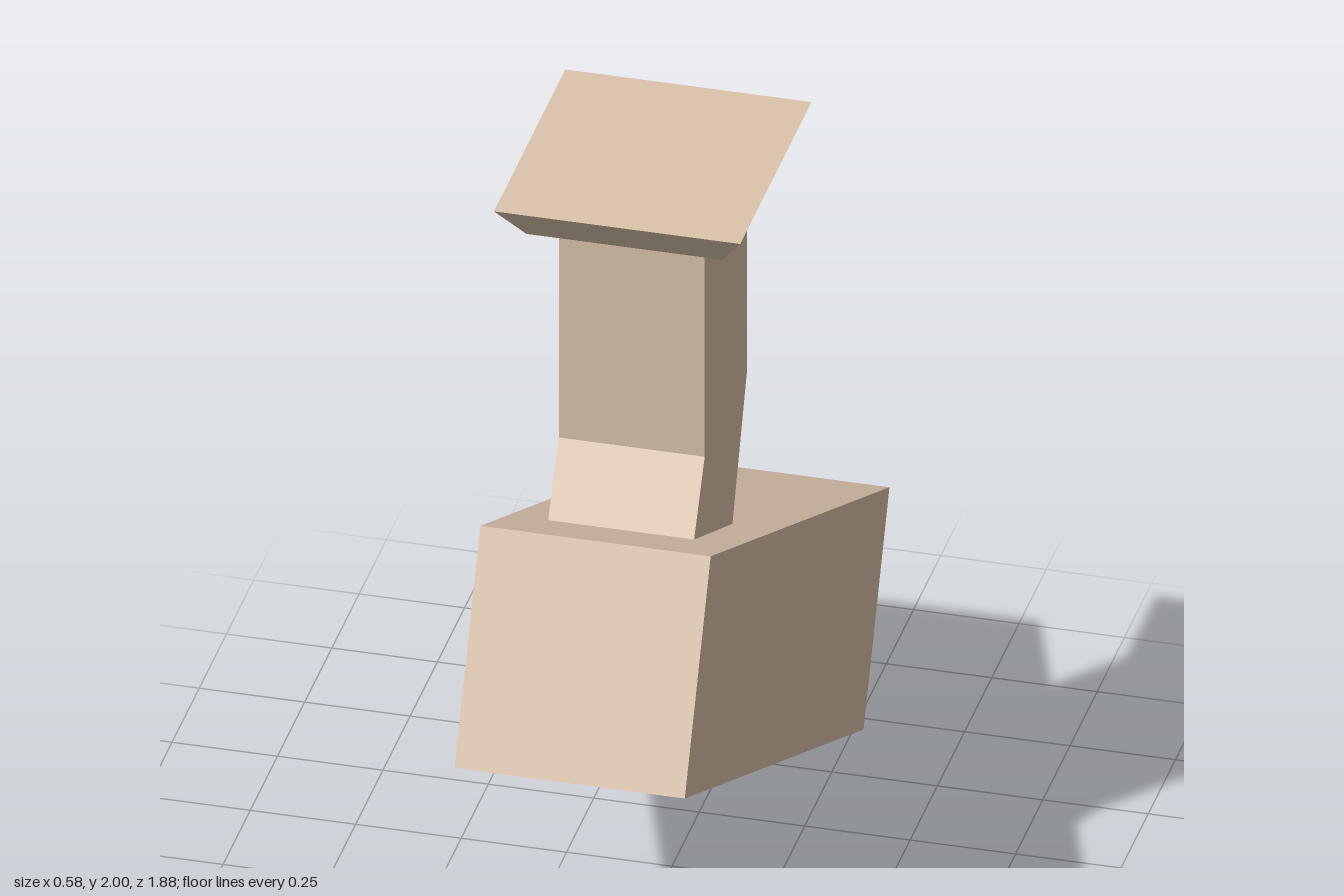
import * as THREE from 'three';

const tan = new THREE.MeshStandardMaterial({ color: 0xdcc4ac });
const black = new THREE.MeshStandardMaterial({ color: 0x151515 });

function part(name, geometry, material = tan) {
  const mesh = new THREE.Mesh(geometry, material);
  mesh.name = name;
  return mesh;
}

// Rectangle path, centred on the origin
function rect(path, w, h) {
  return path.setFromPoints([[-1, -1], [1, -1], [1, 1], [-1, 1]]
    .map(([x, y]) => new THREE.Vector2(x * w / 2, y * h / 2)));
}

// Tilted housing: solid body with a rim around a recessed dark panel at the back
function housing() {
  const width = 0.546, height = 0.563, length = 1.812, wall = 0.052, recess = 0.06;
  const group = new THREE.Group();
  group.name = 'housing';

  const body = part('housingBody', new THREE.BoxGeometry(width, height, length - recess));
  body.position.z = recess / 2;

  const outline = rect(new THREE.Shape(), width, height);
  outline.holes.push(rect(new THREE.Path(), width - 2 * wall, height - 2 * wall));
  const rim = part('backRim', new THREE.ExtrudeGeometry(outline, { depth: recess, bevelEnabled: false }));
  rim.position.z = -length / 2;

  const panel = part('darkPanel',
    new THREE.BoxGeometry(width - 2 * wall, height - 2 * wall, 0.004), black);
  panel.position.z = -length / 2 + recess;

  group.add(body, rim, panel);
  group.rotation.x = -THREE.MathUtils.degToRad(25);
  group.position.y = 0.638;
  return group;
}

// Bent stem: side profile (z, y) extruded across the width
function stem() {
  const width = 0.346;
  const profile = new THREE.Shape([
    [0.37, 1.91], [0.37, 1.335], [0.467, 1.17], [0.115, 1.008], [-0.017, 1.335], [-0.017, 1.91],
  ].map(([z, y]) => new THREE.Vector2(z, y)));
  const geometry = new THREE.ExtrudeGeometry(profile, { depth: width, bevelEnabled: false });
  geometry.translate(0, 0, -width / 2);
  geometry.rotateY(-Math.PI / 2);
  return part('stem', geometry);
}

// Mounting plate: a box whose lower face is drawn in
function mountPlate() {
  const geometry = new THREE.BoxGeometry(0.584, 0.09, 0.656);
  const p = geometry.attributes.position;
  for (let i = 0; i < p.count; i++) {
    if (p.getY(i) > 0) continue;
    p.setX(i, Math.sign(p.getX(i)) * 0.232);
    p.setZ(i, Math.sign(p.getZ(i)) * 0.261);
  }
  geometry.computeVertexNormals();
  const plate = part('mountPlate', geometry);
  plate.position.set(0, 1.955, 0.177);
  return plate;
}

export function createModel() {
  const model = new THREE.Group();
  model.name = 'ceilingMountedHousing';
  model.add(housing(), stem(), mountPlate());
  return model;
}
